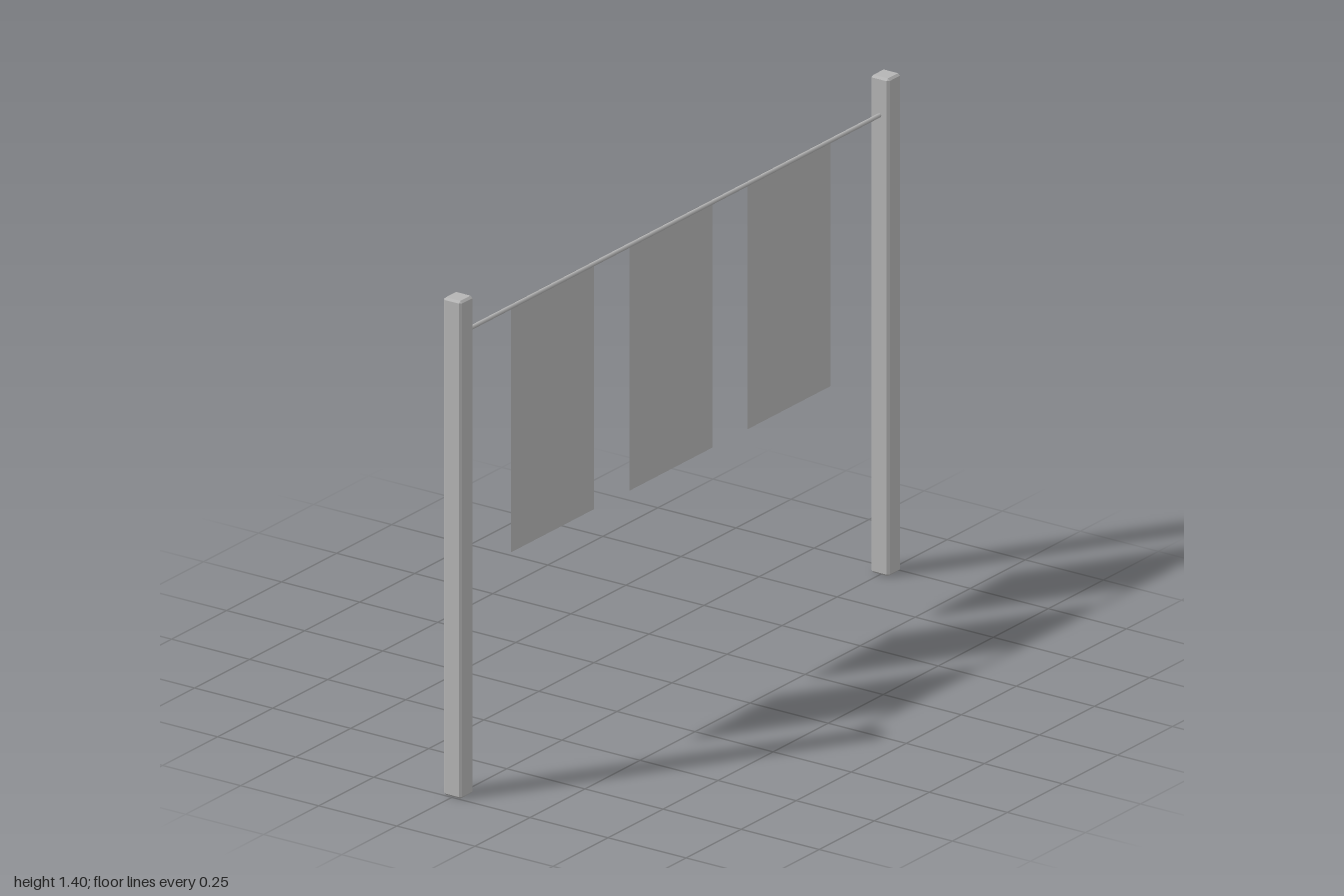
import * as THREE from 'three';
import { ConvexGeometry } from 'three/addons/geometries/ConvexGeometry.js';

// Box with every edge cut at 45 degrees, flat shaded
function chamferedBox(w, h, d, c) {
  const points = [];
  const [x, y, z] = [w / 2, h / 2, d / 2];
  for (const sx of [-1, 1]) for (const sy of [-1, 1]) for (const sz of [-1, 1]) {
    points.push(
      new THREE.Vector3(sx * x, sy * (y - c), sz * (z - c)),
      new THREE.Vector3(sx * (x - c), sy * y, sz * (z - c)),
      new THREE.Vector3(sx * (x - c), sy * (y - c), sz * z)
    );
  }
  return new ConvexGeometry(points);
}

export function createModel() {
  const model = new THREE.Group();
  model.name = 'bannerStand';
  const grey = new THREE.MeshStandardMaterial({ color: 0xb4b4b4, side: THREE.DoubleSide });
  grey.name = 'grey';

  const add = (name, geometry, x, y, z) => {
    const mesh = new THREE.Mesh(geometry, grey);
    mesh.name = name;
    mesh.position.set(x, y, z);
    model.add(mesh);
    return mesh;
  };

  // Two square posts with chamfered edges
  const postGeometry = chamferedBox(0.058, 1.4, 0.058, 0.006);
  add('rightPost', postGeometry, -0.971, 0.7, 0);
  add('leftPost', postGeometry, 0.971, 0.7, 0);

  // Thin rod between the posts
  const rod = add('rod', new THREE.CylinderGeometry(0.006, 0.006, 1.89, 8), 0, 1.293, 0);
  rod.rotation.z = Math.PI / 2;

  // Three cloth panels hanging from the rod
  const clothGeometry = new THREE.PlaneGeometry(0.377, 0.698);
  ['rightCloth', 'middleCloth', 'leftCloth'].forEach((name, i) =>
    add(name, clothGeometry, (i - 1) * 0.538, 0.949, -0.004));

  return model;
}
